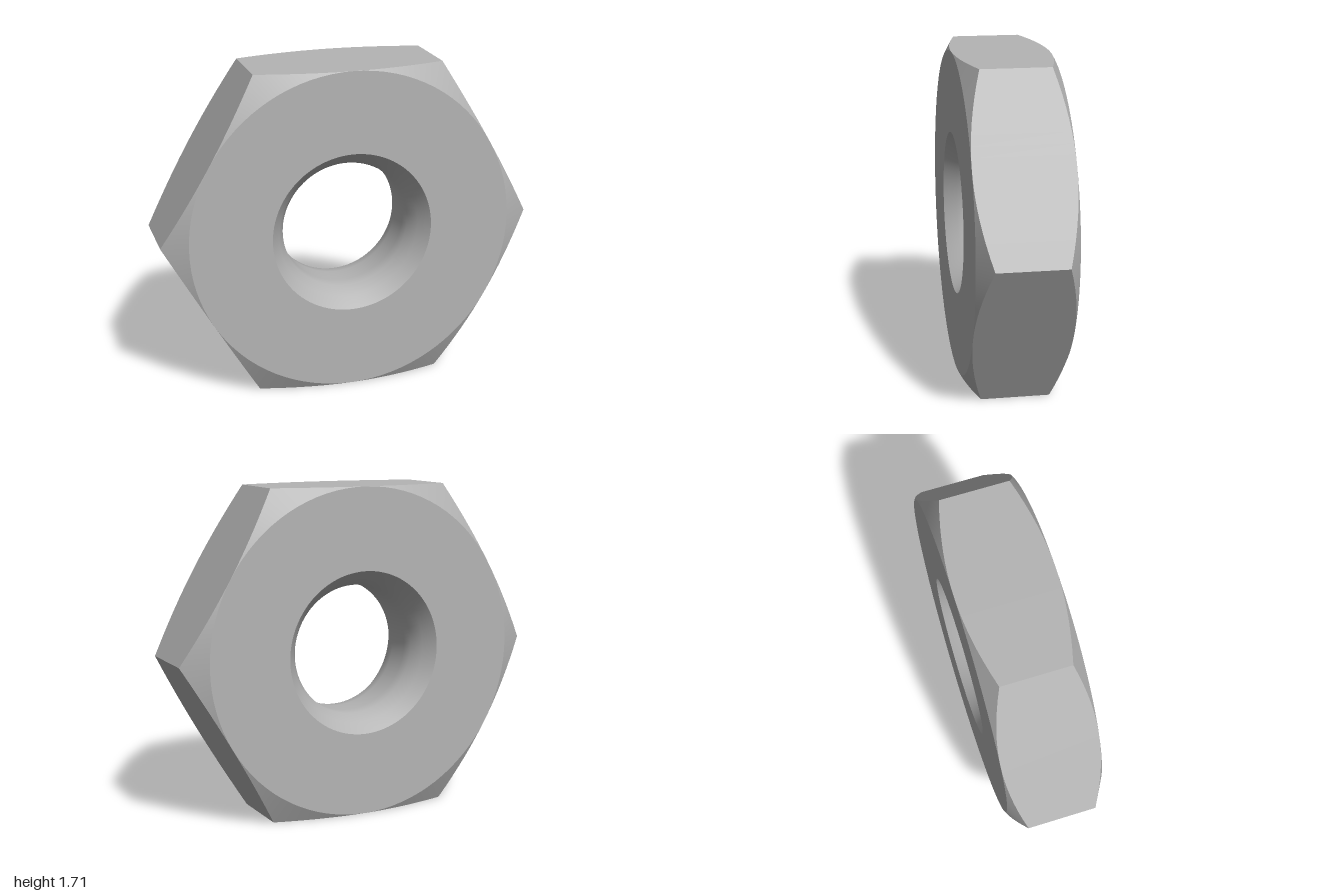
import * as THREE from 'three';

const SEGMENTS = 96;      // multiple of 12: a vertex on every corner and flat centre
const APOTHEM = 0.853;    // half the width across flats
const HALF = 0.25;        // half thickness
const TILT = 0.171;       // turn of the nut about the vertical

// Radius of the hexagon at an angle, with corners on the x axis
function hexRadius(t) {
  const sector = Math.PI / 3;
  const a = t - Math.floor(t / sector) * sector - sector / 2;
  return APOTHEM / Math.cos(a);
}

// A ring is a function angle -> [radius, z]
const circle = (r, z) => () => [r, z];
const hexEdge = (side) => (t) => {
  const r = hexRadius(t);
  return [r, side * (HALF - (r - APOTHEM) * 0.55)];
};

// Skin a list of rings into a closed loop of quads
function skin(rings, smooth) {
  const pos = [], index = [];
  for (const ring of rings) {
    for (let i = 0; i < SEGMENTS; i++) {
      const t = (i / SEGMENTS) * Math.PI * 2 + 1e-9;
      const [r, z] = ring(t);
      pos.push(r * Math.cos(t), r * Math.sin(t), z);
    }
  }
  for (let k = 0; k < rings.length - 1; k++) {
    for (let i = 0; i < SEGMENTS; i++) {
      const j = (i + 1) % SEGMENTS;
      const a = k * SEGMENTS, b = a + SEGMENTS;
      index.push(a + i, b + i, b + j, a + i, b + j, a + j);
    }
  }
  let geo = new THREE.BufferGeometry();
  geo.setAttribute('position', new THREE.Float32BufferAttribute(pos, 3));
  geo.setIndex(index);
  if (!smooth) geo = geo.toNonIndexed();
  geo.computeVertexNormals();
  return geo;
}

export function createModel() {
  const steel = new THREE.MeshStandardMaterial({ color: 0xb4b4b4 });
  steel.name = 'steel grey';

  const nut = new THREE.Group();
  nut.name = 'hexNut';
  const add = (name, rings, smooth) => {
    const mesh = new THREE.Mesh(skin(rings, smooth), steel);
    mesh.name = name;
    nut.add(mesh);
  };

  // Flat bearing faces
  add('frontFace', [circle(0.425, HALF), circle(APOTHEM, HALF)], false);
  add('backFace', [circle(APOTHEM, -HALF), circle(0.425, -HALF)], false);

  // Conical chamfers cutting the corners
  add('frontChamfer', [circle(APOTHEM, HALF), hexEdge(1)], true);
  add('backChamfer', [hexEdge(-1), circle(APOTHEM, -HALF)], true);

  // Six wrench flats
  add('wrenchFlats', [hexEdge(1), hexEdge(-1)], false);

  // Bore with a countersink at both ends, from back to front
  const bore = [[0.425, -HALF], [0.375, -0.185], [0.34, -0.12], [0.334, -0.06]];
  const mirrored = bore.map(([r, z]) => [r, -z]).reverse();
  add('bore', [...bore, ...mirrored].map(([r, z]) => circle(r, z)), true);

  nut.position.y = APOTHEM;
  nut.rotation.y = TILT;

  const model = new THREE.Group();
  model.name = 'nut';
  model.add(nut);
  return model;
}
